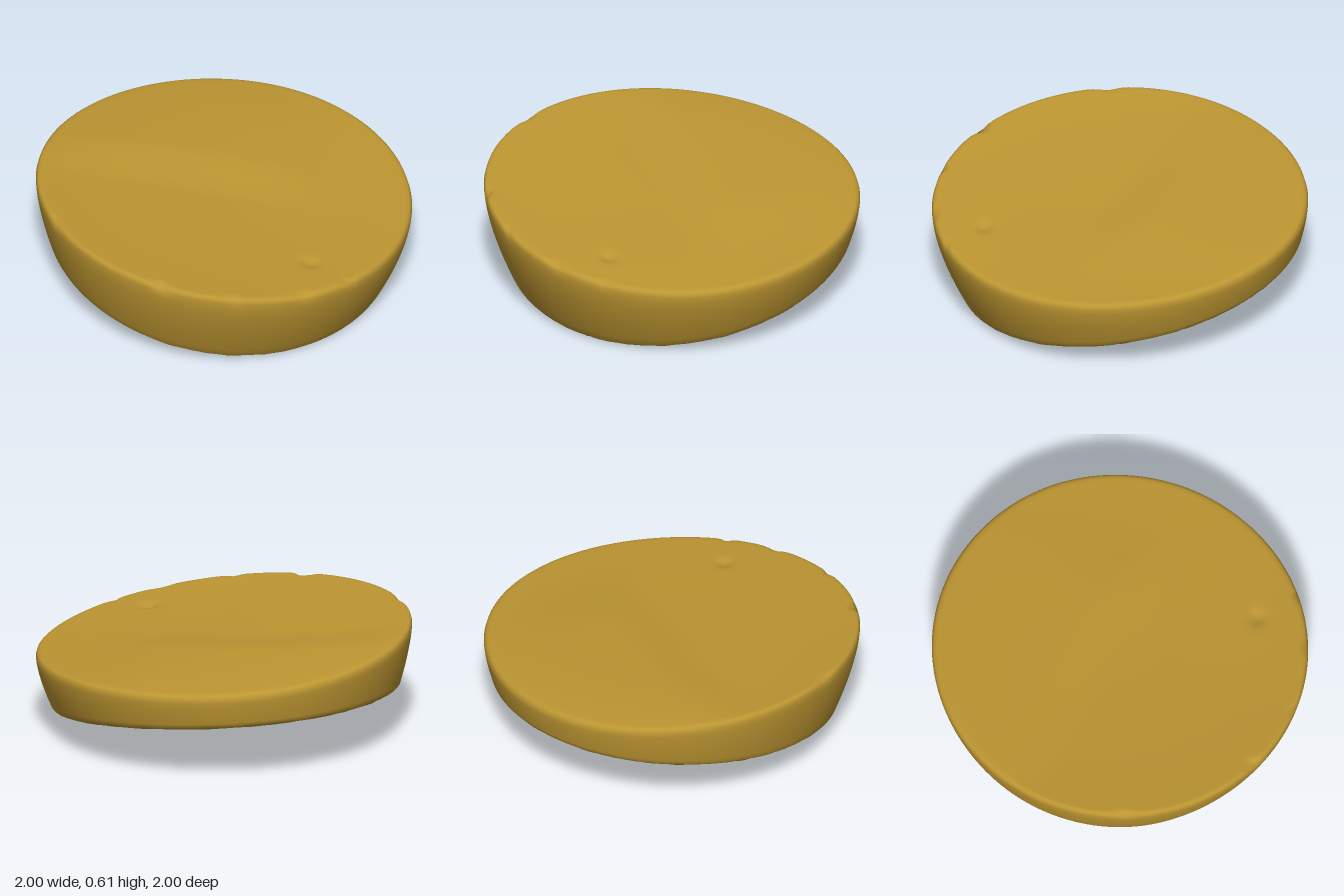
import * as THREE from 'three';

const SEGMENTS = 200;

const smooth = (a, b, t) => THREE.MathUtils.smoothstep(t, a, b);
const bump = (x, z, cx, cz, w) => Math.exp(-((x - cx) ** 2 + (z - cz) ** 2) / (w * w));

// Curved ridge that drops toward the front and fades out on one side and at the rim
function ridge(x, z) {
  const r2 = Math.min(1, x * x + z * z);
  const step = smooth(-0.3, 0.08, z - 0.14 * x * x);
  return (1 - r2 * r2) * (1 - smooth(0.1, 0.8, x)) * (0.026 - 0.034 * step);
}

// Tilted, twisted upper face with a small dimple
function topHeight(x, z) {
  return 0.514 - 0.0925 * x + 0.02 * z + 0.012 * z * z - 0.032 * x * z + 0.015 * x * z * z
    + ridge(x, z) - 0.02 * bump(x, z, 0.57, 0.49, 0.04);
}

// Tilted, twisted lower face with its own small dimple
function bottomHeight(x, z) {
  return 0.17 - 0.126 * x - 0.135 * z - 0.03 * x * z + 0.3 * ridge(x, z)
    + 0.025 * bump(x, z, 0.54, -0.02, 0.045);
}

// Small chips along the upper rim: angle, half width, depth
const CHIPS = [[1.72, 0.045, 1], [1.32, 0.03, 0.5], [0.92, 0.05, 0.5], [0.63, 0.025, 0.5], [2.5, 0.06, 0.5]];
const chipAt = (a) => CHIPS.reduce((s, [c, w, d]) => s + d * Math.exp(-(((a - c) / w) ** 2)), 0);

// Uneven wear along the lower rim
const wear = (a) => Math.sin(17 * a) * 0.4 + Math.sin(31 * a + 1.3) * 0.35 + Math.sin(53 * a + 2.1) * 0.25;

// One cross-section from the lower centre, up the side, to the upper centre
function crossSection(a) {
  const c = Math.cos(a), s = Math.sin(a);
  const rimTop = topHeight(c, s);
  const sideRadius = (y) => 1 - (0.45 + 0.12 * c) * Math.max(0, rimTop - 0.03 - y) ** 1.45;
  let rb = 0.9;
  for (let i = 0; i < 6; i++) rb = sideRadius(bottomHeight(rb * c, rb * s));
  const points = [];
  const add = (r, y) => points.push([r * c, y, r * s]);

  // lower face
  const edge = rb * (0.98 + 0.008 * wear(a));
  for (let i = 0; i <= 40; i++) {
    const r = edge * i / 40;
    add(r, bottomHeight(r * c, r * s));
  }
  // worn lower edge and curved side
  const yb = bottomHeight(rb * c, rb * s);
  add(rb * 0.993, yb + 0.006 + 0.003 * wear(a));
  const y0 = yb + 0.02, y1 = rimTop - 0.03;
  for (let i = 0; i <= 10; i++) {
    const y = y0 + (y1 - y0) * i / 10;
    add(sideRadius(y), y);
  }
  // rounded, chipped upper edge and upper face
  const chip = chipAt(a);
  add(0.995 - 0.02 * chip, rimTop - 0.012 - 0.012 * chip);
  add(0.986 - 0.03 * chip, rimTop - 0.003 - 0.012 * chip);
  const inner = 0.972 - 0.03 * chip;
  for (let i = 50; i >= 0; i--) {
    const r = inner * i / 50;
    add(r, topHeight(r * c, r * s));
  }
  return points;
}

function slabGeometry() {
  const positions = [], indices = [];
  let rows = 0;
  for (let j = 0; j < SEGMENTS; j++) {
    const section = crossSection(j / SEGMENTS * Math.PI * 2);
    rows = section.length;
    section.forEach((p) => positions.push(...p));
  }
  for (let j = 0; j < SEGMENTS; j++) {
    const a = j * rows, b = ((j + 1) % SEGMENTS) * rows;
    for (let i = 0; i < rows - 1; i++) {
      indices.push(a + i, b + i + 1, b + i, a + i, a + i + 1, b + i + 1);
    }
  }
  const geometry = new THREE.BufferGeometry();
  geometry.setAttribute('position', new THREE.Float32BufferAttribute(positions, 3));
  geometry.setIndex(indices);
  geometry.computeVertexNormals();
  geometry.computeBoundingBox();
  geometry.translate(0, -geometry.boundingBox.min.y, 0);
  return geometry;
}

export function createModel() {
  const group = new THREE.Group();
  group.name = 'roundSlab';
  const gold = new THREE.MeshStandardMaterial({ color: 0xbd9632 });
  gold.name = 'ochre gold';
  const slab = new THREE.Mesh(slabGeometry(), gold);
  slab.name = 'slabBody';
  group.add(slab);
  return group;
}
